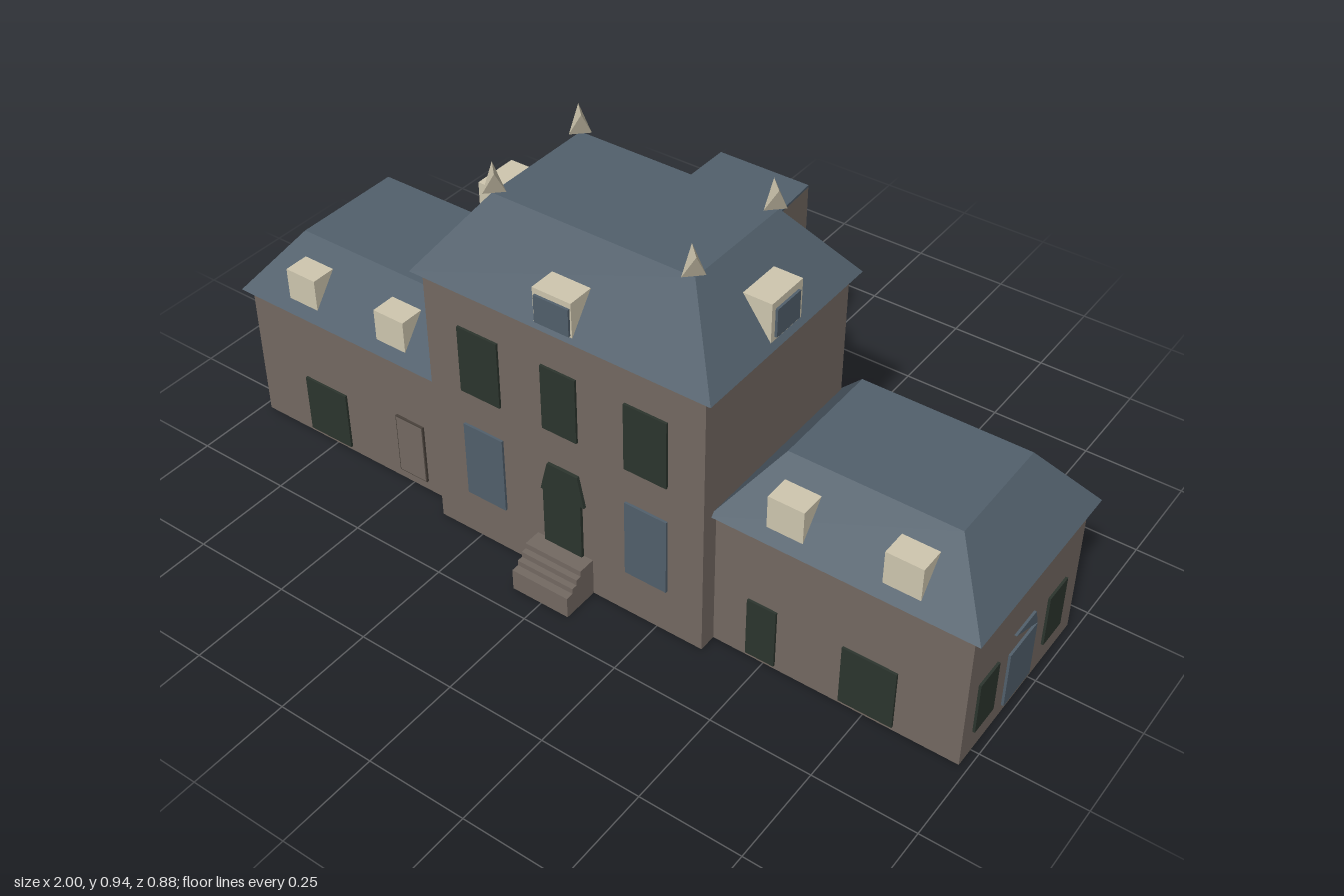
import * as THREE from 'three';

const mat = (name, color) => {
  const m = new THREE.MeshStandardMaterial({ color });
  m.name = name;
  return m;
};

export function createModel() {
  const house = new THREE.Group();
  house.name = 'house';
  const brick = mat('brown brick', 0x746a63);
  const slate = mat('blue slate', 0x52606c);
  const cream = mat('cream trim', 0xd0c8b0);
  const green = mat('dark green', 0x2c352e);
  const line = mat('dark outline', 0x4a423c);

  const add = (name, geometry, material) => {
    const mesh = new THREE.Mesh(geometry, material);
    mesh.name = name;
    house.add(mesh);
    return mesh;
  };

  // box given by its limits
  const box = (name, x0, x1, y0, y1, z0, z1, material) => {
    const g = new THREE.BoxGeometry(x1 - x0, y1 - y0, z1 - z0);
    g.translate((x0 + x1) / 2, (y0 + y1) / 2, (z0 + z1) / 2);
    return add(name, g, material);
  };

  // box with a different top rectangle; rectangles are [x0, x1, z0, z1]
  const frustum = (name, low, high, y0, y1, material) => {
    const g = new THREE.BoxGeometry(1, 1, 1);
    const p = g.attributes.position;
    for (let i = 0; i < p.count; i++) {
      const top = p.getY(i) > 0;
      const r = top ? high : low;
      p.setXYZ(i, p.getX(i) < 0 ? r[0] : r[1], top ? y1 : y0, p.getZ(i) < 0 ? r[2] : r[3]);
    }
    g.computeVertexNormals();
    return add(name, g, material);
  };

  // thin plates on walls facing z or x
  const T = 0.006;
  const plateZ = (name, x0, x1, y0, y1, z, dir, material) =>
    box(name, x0, x1, y0, y1, Math.min(z, z + dir * T), Math.max(z, z + dir * T), material);
  const plateX = (name, z0, z1, y0, y1, x, dir, material) =>
    box(name, Math.min(x, x + dir * T), Math.max(x, x + dir * T), y0, y1, z0, z1, material);

  const FRONT = 0.345, BACK = -0.19, WING = 0.30, END = 0.98;

  // central block
  box('mainWalls', -0.37, 0.37, 0, 0.69, BACK, FRONT, brick);
  frustum('mainCornice', [-0.37, 0.37, BACK, FRONT], [-0.387, 0.387, -0.203, 0.358], 0.682, 0.699, cream);
  frustum('mainRoof', [-0.392, 0.392, -0.207, 0.362], [-0.26, 0.26, -0.072, 0.23], 0.699, 0.88, slate);

  // chimney finials
  for (const x of [-0.255, 0.255]) for (const z of [-0.065, 0.228]) {
    const g = new THREE.TetrahedronGeometry(Math.sqrt(3));
    g.scale(0.018, 0.031, 0.018);
    add('chimney', g, cream).position.set(x, 0.911, z);
  }

  // two side wings with their dormers
  for (const s of [-1, 1]) {
    const span = (a, b) => (s > 0 ? [a, b] : [-b, -a]);
    box('wingWalls', ...span(0.36, END), 0, 0.36, BACK, WING, brick);
    frustum('wingCornice', [...span(0.365, END), BACK, WING],
      [...span(0.365, 0.995), -0.203, 0.314], 0.352, 0.367, cream);
    frustum('wingRoof', [...span(0.362, 1), -0.207, 0.318],
      [...span(0.475, 0.882), -0.09, 0.2], 0.367, 0.52, slate);
    for (const x of [0.492, 0.766])
      box('wingDormer', ...span(x, x + 0.088), 0.392, 0.476, 0.225, 0.298, cream);
    box('sideDormer', ...span(0.3, 0.382), 0.71, 0.81, 0.022, 0.135, cream);

    // windows of the central block
    const wx = span(0.168, 0.278);
    plateZ('upperFrontWindow', ...wx, 0.42, 0.595, FRONT, 1, green);
    plateZ('lowerFrontWindow', ...wx, 0.122, 0.325, FRONT, 1, slate);
    const bx = span(0.185, 0.31);
    plateZ('upperBackWindow', ...bx, 0.42, 0.585, BACK, -1, slate);
    plateZ('lowerBackWindow', ...bx, 0.12, 0.322, BACK, -1, slate);
  }
  plateX('sideDormerWindow', 0.037, 0.122, 0.722, 0.792, 0.382, 1, slate);
  plateZ('middleFrontWindow', -0.05, 0.043, 0.425, 0.595, FRONT, 1, green);

  // front dormer
  frustum('frontDormer', [-0.055, 0.045, 0.24, 0.355], [-0.055, 0.045, 0.285, 0.357], 0.71, 0.798, cream);
  plateZ('frontDormerWindow', -0.048, 0.042, 0.716, 0.784, 0.357, 1, slate);

  // front door with its stepped, narrowing head
  const door = new THREE.Shape([
    [-0.054, 0.095], [0.05, 0.095], [0.05, 0.25], [0.06, 0.25],
    [0.043, 0.33], [-0.04, 0.33], [-0.06, 0.25], [-0.054, 0.25],
  ].map(([x, y]) => new THREE.Vector2(x, y)));
  add('frontDoor', new THREE.ExtrudeGeometry(door, { depth: 0.008, bevelEnabled: false }), green)
    .position.z = FRONT;

  // entrance steps
  [[0.44, 0.056], [0.42, 0.07], [0.405, 0.085], [0.39, 0.1]].forEach(([z, h]) =>
    box('entranceStep', -0.08, 0.075, 0, h, FRONT, z, brick));

  // rear tower, slightly narrower at the back
  const towerLow = [-0.132, 0.11, -0.435, BACK];
  const tower = frustum('rearTower', towerLow, towerLow, 0, 0.686, brick);
  const towerRoof = frustum('rearTowerRoof', towerLow, towerLow, 0.686, 0.692, slate);
  for (const mesh of [tower, towerRoof]) {
    const p = mesh.geometry.attributes.position;
    for (let i = 0; i < p.count; i++)
      if (p.getX(i) > 0 && p.getZ(i) > -0.3) p.setX(i, 0.125);
    mesh.geometry.computeVertexNormals();
  }
  for (const [y0, y1] of [[0.122, 0.322], [0.42, 0.582]])
    plateZ('rearTowerWindow', -0.045, 0.047, y0, y1, -0.435, -1, green);

  // wing windows, front and back
  for (const [x0, x1] of [[-0.83, -0.7], [0.457, 0.53], [0.692, 0.823]])
    plateZ('wingFrontWindow', x0, x1, 0.012, 0.17, WING, 1, green);
  for (const [x0, x1] of [[-0.755, -0.605], [0.51, 0.62], [0.635, 0.745], [0.76, 0.872]])
    plateZ('wingBackWindow', x0, x1, 0.012, 0.18, BACK, -1, green);

  // plain door in the right wing
  plateZ('wingDoorOutline', -0.537, -0.453, 0.027, 0.193, WING, 1, line).scale.z = 1;
  plateZ('wingDoor', -0.534, -0.456, 0.03, 0.19, WING + 0.001, 1, brick);

  // right end wall
  for (const [z0, z1] of [[-0.12, -0.02], [0.035, 0.14]])
    plateX('rightEndWindow', z0, z1, 0.015, 0.18, -END, -1, green);

  // left end wall with door and its slanted canopy
  for (const [z0, z1] of [[-0.127, -0.047], [0.175, 0.255]])
    plateX('leftEndWindow', z0, z1, 0.06, 0.197, END, 1, green);
  plateX('leftEndDoor', 0.007, 0.124, 0.022, 0.172, END, 1, slate);
  const canopy = new THREE.Shape([
    [-0.11, 0.218], [-0.008, 0.175], [-0.022, 0.218],
  ].map(([x, y]) => new THREE.Vector2(x, y)));
  const canopyMesh = add('leftEndCanopy',
    new THREE.ExtrudeGeometry(canopy, { depth: T, bevelEnabled: false }), slate);
  canopyMesh.rotation.y = Math.PI / 2;
  canopyMesh.position.x = END;

  // centre the depth
  return house;
}
